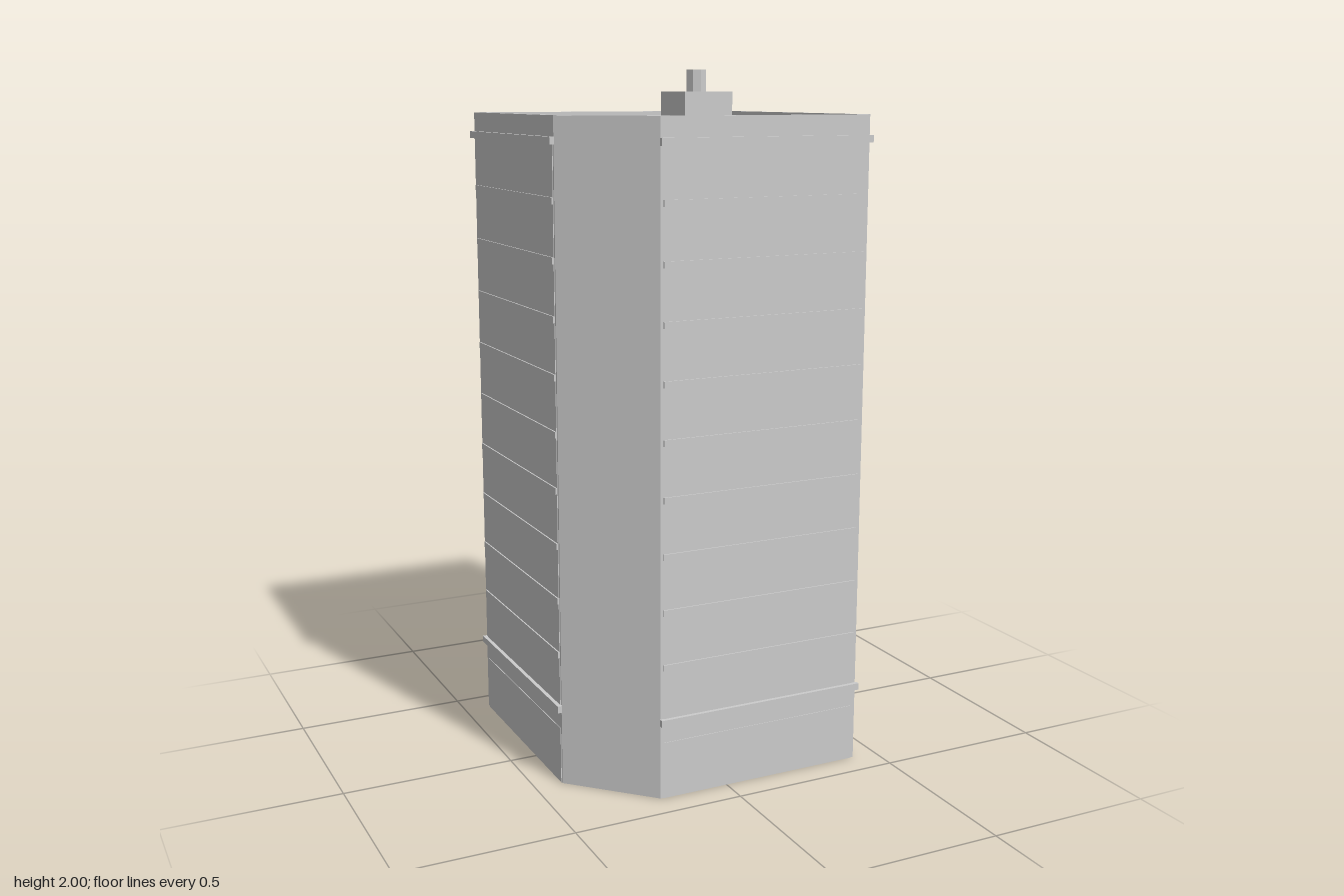
import * as THREE from 'three';

export function createModel() {
  const model = new THREE.Group();
  model.name = 'towerBlock';
  const grey = new THREE.MeshStandardMaterial({ color: 0xcccccc });
  grey.name = 'concrete grey';

  function add(parent, name, geometry, x = 0, y = 0, z = 0) {
    const mesh = new THREE.Mesh(geometry, grey);
    mesh.name = name;
    mesh.position.set(x, y, z);
    parent.add(mesh);
    return mesh;
  }

  const X0 = -0.418, X1 = 0.425, Z0 = -0.427, Z1 = 0.416;
  const ROOF = 1.81, TOP = 1.875, WALL = 0.013;

  // Square plan with one cut corner; z is negated for the extrusion
  const plan = (inset) => [
    [X0 + inset, -(Z0 + inset)],
    [X0 + inset, -(0.206 - inset * 0.41)],
    [-0.208 + inset * 0.41, -(Z1 - inset)],
    [X1 - inset, -(Z1 - inset)],
    [X1 - inset, -(Z0 + inset)],
  ].map(([x, y]) => new THREE.Vector2(x, y));

  const raise = (shape, depth) =>
    new THREE.ExtrudeGeometry(shape, { depth, bevelEnabled: false }).rotateX(-Math.PI / 2);

  // Tower body and roof parapet
  add(model, 'towerBody', raise(new THREE.Shape(plan(0)), ROOF));
  const rim = new THREE.Shape(plan(0));
  rim.holes.push(new THREE.Path(plan(WALL)));
  add(model, 'parapet', raise(rim, TOP - ROOF), 0, ROOF, 0);

  // Facade strip from a to b along the wall, standing out by d
  function strip(group, onFront, name, a, b, y0, y1, d) {
    const length = b - a, mid = (a + b) / 2, y = (y0 + y1) / 2;
    if (onFront) add(group, name, new THREE.BoxGeometry(length, y1 - y0, d), mid, y, Z1 + d / 2);
    else add(group, name, new THREE.BoxGeometry(d, y1 - y0, length), X0 - d / 2, y, -mid);
  }

  // Two decorated facades either side of the cut corner
  for (const onFront of [true, false]) {
    const facade = new THREE.Group();
    facade.name = onFront ? 'frontFacade' : 'rightFacade';
    strip(facade, onFront, 'groundFloorPanel', -0.2, 0.412, 0, 0.165, 0.002);
    strip(facade, onFront, 'upperFloorsPanel', -0.2, 0.412, 0.235, 1.8, 0.002);
    for (let i = 0; i < 9; i++) {
      const y = 0.385 + i * 0.1585;
      strip(facade, onFront, 'floorBand', -0.2, 0.412, y - 0.009, y + 0.009, 0.006);
    }
    for (const y of [0.226, 1.81])
      strip(facade, onFront, 'cornice', -0.21, 0.43, y - 0.01, y + 0.01, 0.013);
    model.add(facade);
  }

  // Rooftop plant room with chimney
  add(model, 'plantRoom', new THREE.BoxGeometry(0.158, 1.935 - ROOF, 0.166), 0.216, (1.935 + ROOF) / 2, -0.218);
  const flue = new THREE.CylinderGeometry(0.031, 0.031, 0.065, 8).toNonIndexed();
  flue.computeVertexNormals();
  add(model, 'chimney', flue, 0.216, 1.9675, -0.218);

  return model;
}
